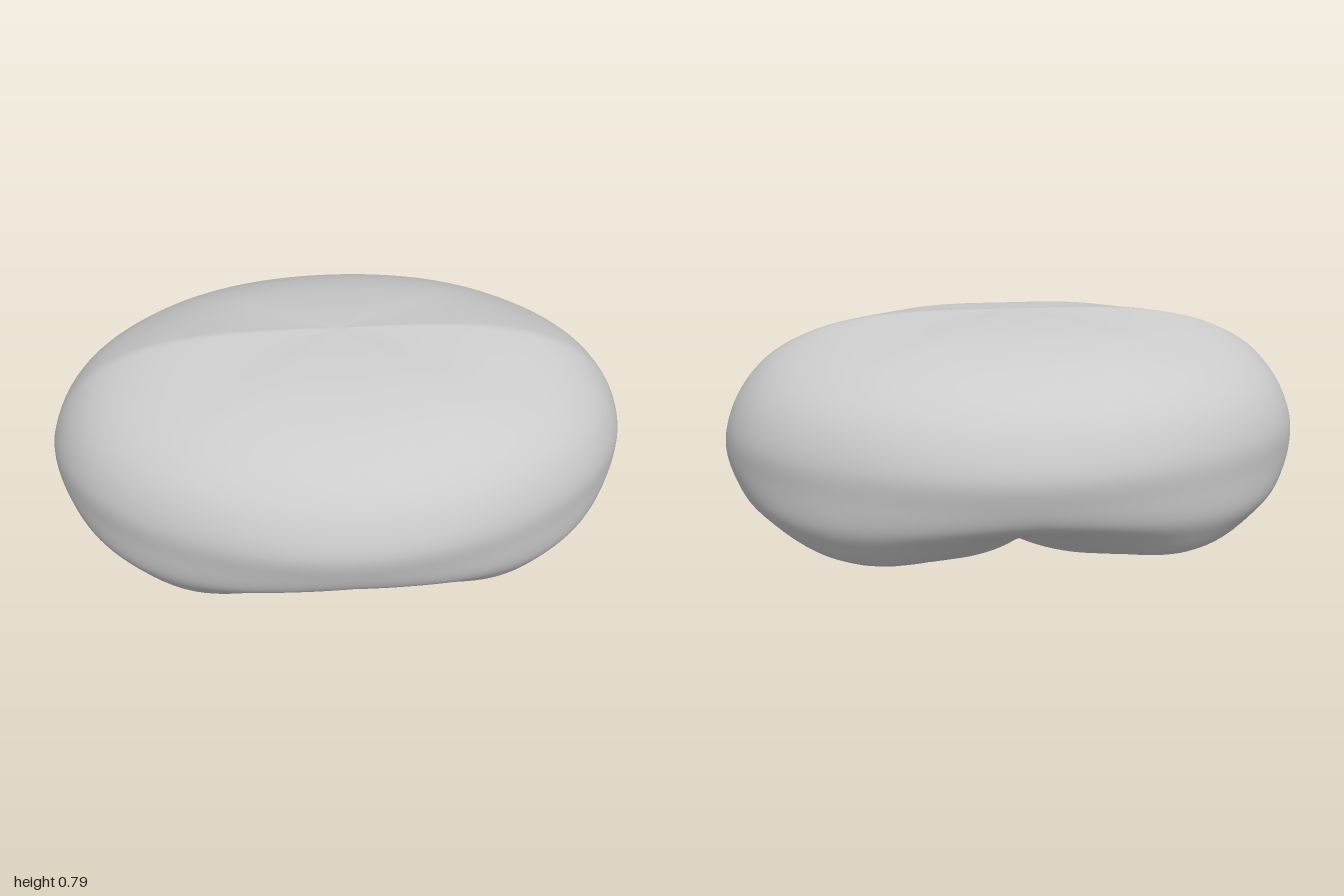
import * as THREE from 'three';

const ROWS = 72, COLS = 144;

// Profiles from the crown down to the opening: [share of outline, share of opening, height]
const toCurve = (pts) => new THREE.CatmullRomCurve3(pts.map((p) => new THREE.Vector3(...p)));
const endProfile = toCurve([
  [0, 0, 0.79], [0.3, 0, 0.788], [0.5, 0, 0.772], [0.68, 0, 0.73], [0.84, 0, 0.645], [0.94, 0, 0.53],
  [0.99, 0, 0.41], [1, 0, 0.32], [0.88, 0.12, 0.2], [0.7, 0.3, 0.145], [0.42, 0.58, 0.1], [0.18, 0.82, 0.05], [0, 1, 0.02],
]);
const footProfile = toCurve([
  [0, 0, 0.79], [0.28, 0, 0.773], [0.5, 0, 0.742], [0.68, 0, 0.692], [0.83, 0, 0.62], [0.925, 0, 0.53],
  [0.975, 0, 0.41], [0.97, 0, 0.3], [0.9, 0.1, 0.19], [0.78, 0.22, 0.11], [0.62, 0.38, 0.045], [0.3, 0.7, 0.018], [0, 1, 0],
]);
const middleProfile = toCurve([
  [0, 0, 0.79], [0.27, 0, 0.768], [0.5, 0, 0.732], [0.68, 0, 0.682], [0.83, 0, 0.615], [0.94, 0, 0.525],
  [1, 0, 0.4], [0.975, 0, 0.3], [0.9, 0.1, 0.225], [0.76, 0.24, 0.18], [0.55, 0.45, 0.14], [0.28, 0.72, 0.075], [0, 1, 0.015],
]);

// Blend the profiles around one quarter: pinched at the ends, smooth elsewhere
function profileAt(angle, t) {
  const u = Math.acos(Math.min(1, Math.abs(Math.cos(angle)))) / (Math.PI / 2);
  const foot = footProfile.getPoint(t);
  if (u < 0.5) return endProfile.getPoint(t).lerp(foot, Math.sin(Math.PI * u));
  return foot.lerp(middleProfile.getPoint(t), THREE.MathUtils.smoothstep(u, 0.5, 1));
}

// Opening made of two overlapping circles side by side
function openingRadius(angle) {
  const c = 0.27 * Math.abs(Math.cos(angle)), s = 0.27 * Math.sin(angle);
  return c + Math.sqrt(0.33 * 0.33 - s * s);
}

export function createModel() {
  const positions = [], index = [];
  for (let i = 0; i <= ROWS; i++) {
    for (let j = 0; j < COLS; j++) {
      const angle = (j / COLS) * Math.PI * 2;
      const p = profileAt(angle, i / ROWS);
      const hole = openingRadius(angle) * p.y;
      positions.push(
        Math.cos(angle) * (p.x + hole),
        p.z,
        Math.sin(angle) * (0.73 * p.x + hole),
      );
      if (i === ROWS) continue;
      const next = (j + 1) % COLS;
      const a = i * COLS + j, b = a + COLS, c = i * COLS + next, d = c + COLS;
      if (i > 0) index.push(a, c, b);
      index.push(c, d, b);
    }
  }
  const geometry = new THREE.BufferGeometry();
  geometry.setAttribute('position', new THREE.Float32BufferAttribute(positions, 3));
  geometry.setIndex(index);
  geometry.computeVertexNormals();

  // The crown row is a single point, so its normals all face up
  for (let j = 0; j < COLS; j++) geometry.attributes.normal.setXYZ(j, 0, 1, 0);

  // Thin open shell
  const shell = new THREE.Mesh(
    geometry,
    new THREE.MeshStandardMaterial({ color: 0xcccccc, side: THREE.DoubleSide }),
  );
  shell.name = 'shell';

  const group = new THREE.Group();
  group.name = 'hollowCushion';
  group.add(shell);
  return group;
}
